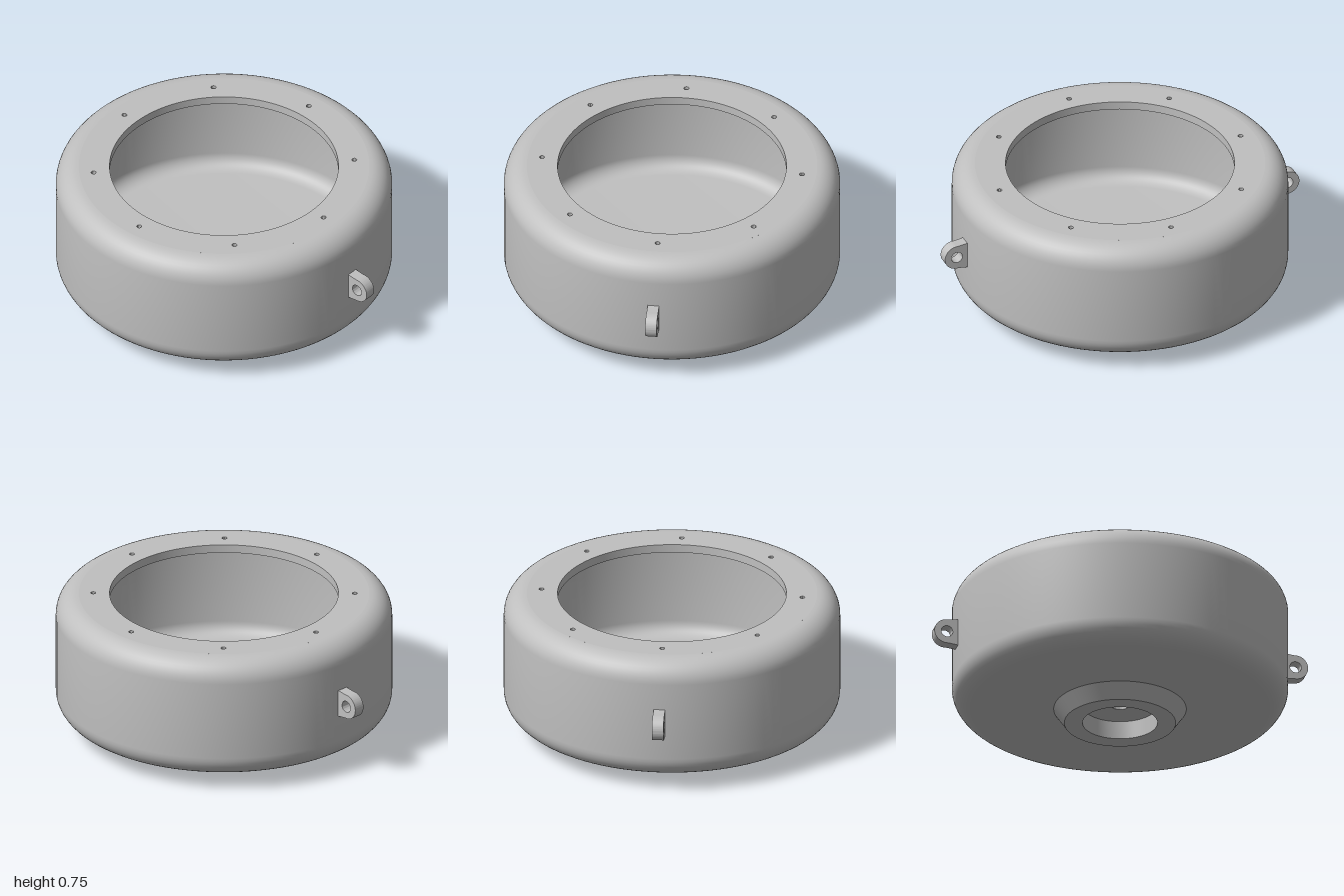
import * as THREE from 'three';
import { toCreasedNormals } from 'three/addons/utils/BufferGeometryUtils.js';

const SEG = 96;
const TOP = 0.745, BASE = 0.08, RADIUS = 0.875, WALL = 0.045, FILLET = 0.12;

export function createModel() {
  const group = new THREE.Group();
  const grey = new THREE.MeshStandardMaterial({ color: 0xc0c0c0 });
  grey.name = 'satin grey';

  const add = (name, geometry) => {
    const mesh = new THREE.Mesh(toCreasedNormals(geometry, 0.5), grey);
    mesh.name = name;
    group.add(mesh);
    return mesh;
  };

  // Quarter-round profile points about (cx, cy) between two angles
  const arc = (cx, cy, r, a0, a1, n = 10) =>
    Array.from({ length: n + 1 }, (_, i) => {
      const a = a0 + ((a1 - a0) * i) / n;
      return [cx + r * Math.cos(a), cy + r * Math.sin(a)];
    });
  const lathe = (points) =>
    new THREE.LatheGeometry(points.map(([x, y]) => new THREE.Vector2(x, y)), SEG);

  const H = Math.PI / 2;
  const flat = RADIUS - FILLET; // radius where the rounded edges begin
  const inner = FILLET - WALL;

  // Hollow housing with tapered foot, foot recess and central bore
  add('housing', lathe([
    [0.046, BASE + WALL], [0.046, 0.098], [0.195, 0.098], [0.195, 0],
    [0.29, 0], [0.345, BASE],
    ...arc(flat, BASE + FILLET, FILLET, -H, 0),
    ...arc(flat, TOP - FILLET, FILLET, 0, H),
  ]));
  add('housingInterior', lathe([
    ...arc(flat, TOP - FILLET, inner, H, 0),
    ...arc(flat, BASE + FILLET, inner, 0, -H),
    [0.046, BASE + WALL],
  ]));

  // Flat top rim with a large opening and eight screw holes
  const hole = (x, y, r) => new THREE.Path().absarc(x, y, r, 0, Math.PI * 2, true);
  const rim = new THREE.Shape().absarc(0, 0, flat, 0, Math.PI * 2, false);
  rim.holes.push(hole(0, 0, 0.595));
  for (let i = 0; i < 8; i++) {
    const a = (i * Math.PI) / 4;
    rim.holes.push(hole(0.68 * Math.cos(a), 0.68 * Math.sin(a), 0.013));
  }
  const rimGeometry = new THREE.ExtrudeGeometry(rim, { depth: WALL, bevelEnabled: false, curveSegments: SEG });
  rimGeometry.rotateX(-H);
  add('topRim', rimGeometry).position.y = TOP - WALL;

  // Rounded side lugs, slightly wider at the housing
  const lug = new THREE.Shape();
  lug.moveTo(0.85, -0.076);
  lug.lineTo(0.87, -0.074);
  lug.absarc(0.933, 0, 0.067, -H - 0.1, H + 0.1, false);
  lug.lineTo(0.87, 0.074);
  lug.lineTo(0.85, 0.076);
  lug.closePath();
  lug.holes.push(hole(0.933, 0, 0.031));
  for (const [name, turn] of [['leftLug', 0], ['rightLug', Math.PI]]) {
    const geometry = new THREE.ExtrudeGeometry(lug, { depth: 0.06, bevelEnabled: false, curveSegments: 32 });
    geometry.translate(0, 0, -0.03);
    const mesh = add(name, geometry);
    mesh.position.y = 0.41;
    mesh.rotation.y = turn;
  }

  return group;
}
